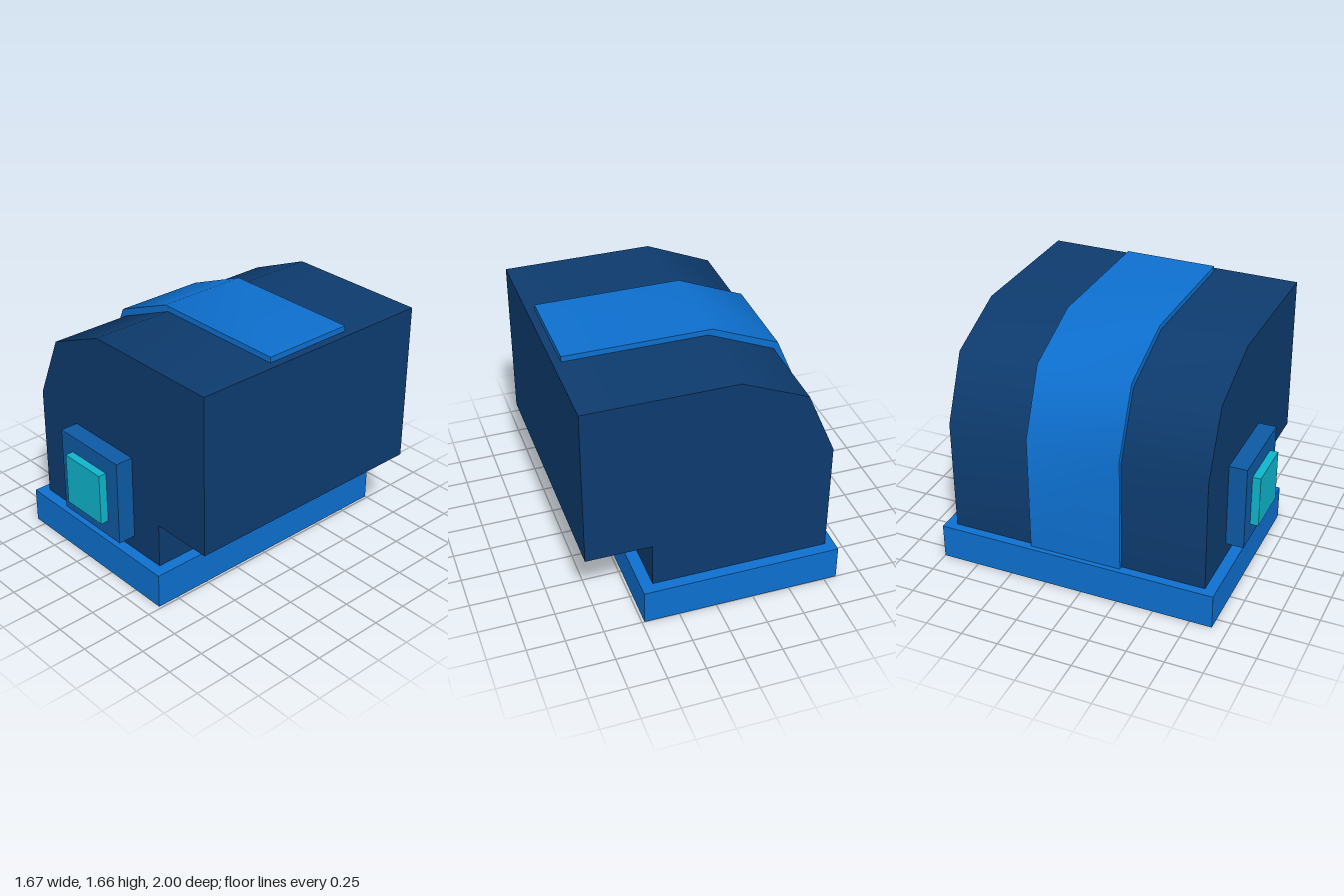
import * as THREE from 'three';
import { toCreasedNormals } from 'three/addons/utils/BufferGeometryUtils.js';

function material(name, color) {
  const m = new THREE.MeshStandardMaterial({ color });
  m.name = name;
  return m;
}

export function createModel() {
  const navy = material('navy', 0x0d3b6e);
  const blue = material('bright blue', 0x0d6fce);
  const midBlue = material('mid blue', 0x0d5aa3);
  const cyan = material('cyan', 0x0eb4cc);

  const model = new THREE.Group();
  model.name = 'machine';

  function add(name, geometry, mat) {
    const mesh = new THREE.Mesh(geometry, mat);
    mesh.name = name;
    model.add(mesh);
  }

  // Box given by its limits on each axis
  function box(name, [x0, x1], [y0, y1], [z0, z1], mat) {
    const g = new THREE.BoxGeometry(x1 - x0, y1 - y0, z1 - z0);
    g.translate((x0 + x1) / 2, (y0 + y1) / 2, (z0 + z1) / 2);
    add(name, g, mat);
  }

  // Side profile swept along z, smooth over the rounded shoulder only
  function sweep(name, points, z0, z1, mat) {
    const shape = new THREE.Shape(points.map(([x, y]) => new THREE.Vector2(x, y)));
    const g = new THREE.ExtrudeGeometry(shape, { depth: z1 - z0, bevelEnabled: false });
    g.translate(0, 0, z0);
    add(name, toCreasedNormals(g, 0.9), mat);
  }

  const shoulder = [[-0.15, 1.628], [-0.587, 1.44], [-0.775, 1.005]];

  // Base slab
  box('base', [-0.835, 0.483], [0, 0.237], [-1, 0.9], blue);

  // Housing with overhanging head
  sweep('housing', [
    [-0.775, 0.237], [0.403, 0.237], [0.403, 0.543], [0.833, 0.543], [0.833, 1.628],
    ...shoulder,
  ], -0.925, 0.825, navy);

  // Raised band wrapped over the back and top
  sweep('band', [
    [0.78, 1.628], [0.78, 1.665], [-0.175, 1.665], [-0.614, 1.48], [-0.802, 1.04], [-0.802, 0.237],
    [-0.775, 0.237], ...shoulder.slice().reverse(),
  ], -0.365, 0.262, blue);

  // Control panel on the front
  box('panelFrame', [-0.41, 0.156], [0.336, 0.92], [0.825, 0.945], midBlue);
  box('panelScreen', [-0.3, 0.045], [0.45, 0.805], [0.945, 1], cyan);

  return model;
}
